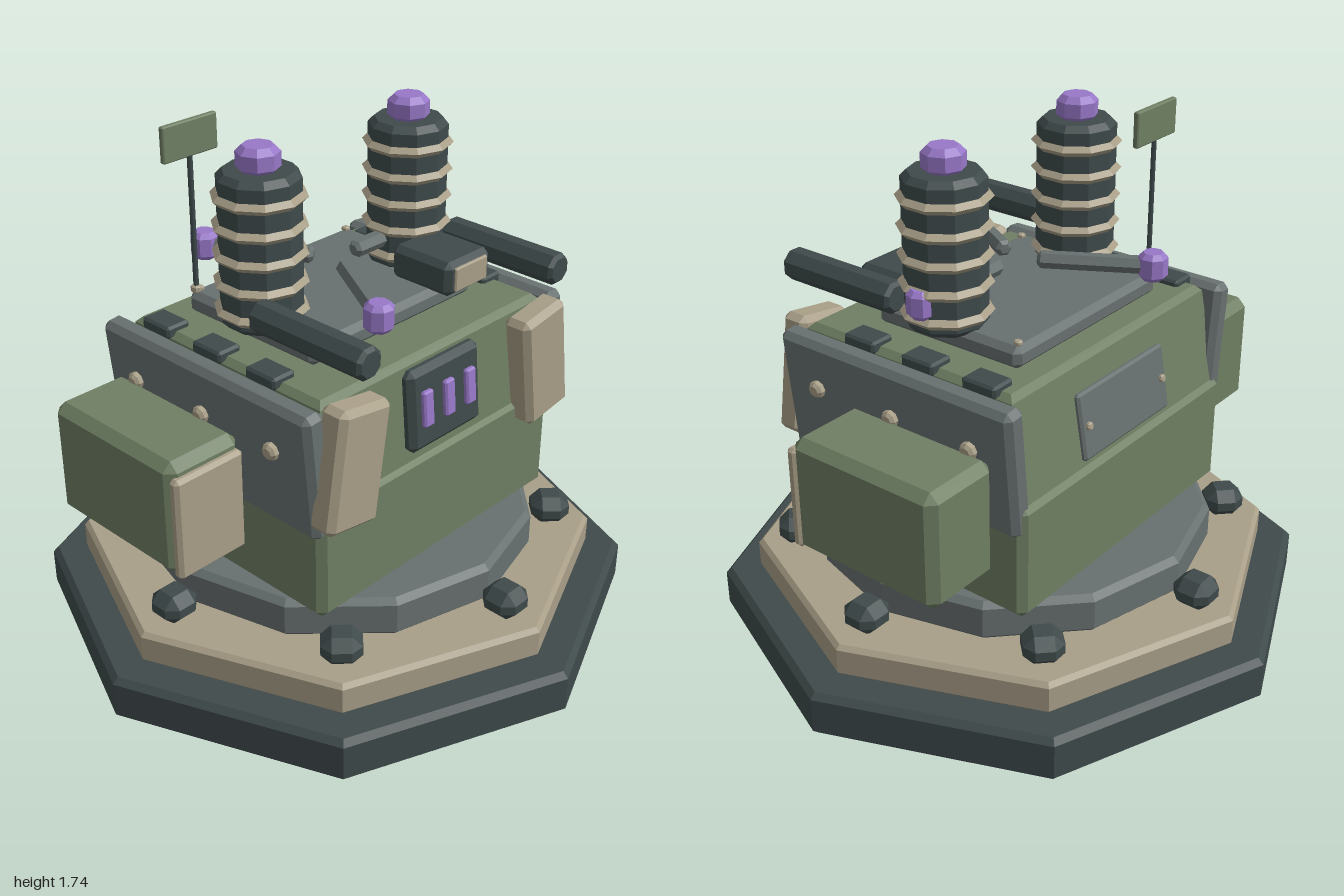
import * as THREE from 'three';
import { ConvexGeometry } from 'three/addons/geometries/ConvexGeometry.js';

const mat = (name, color) => {
  const m = new THREE.MeshStandardMaterial({ color });
  m.name = name;
  return m;
};

// Box with all edges cut at 45 degrees
function chamferBox(w, h, d, c = 0.02) {
  const x = w / 2, y = h / 2, z = d / 2, pts = [];
  for (const i of [-1, 1]) for (const j of [-1, 1]) for (const k of [-1, 1]) {
    pts.push(
      new THREE.Vector3(i * x, j * (y - c), k * (z - c)),
      new THREE.Vector3(i * (x - c), j * y, k * (z - c)),
      new THREE.Vector3(i * (x - c), j * (y - c), k * z));
  }
  return new ConvexGeometry(pts);
}

// Faceted solid of revolution with cut rims
function drum(r, h, sides, c = 0.02) {
  const p = [[0, 0], [r - c, 0], [r, c], [r, h - c], [r - c, h], [0, h]];
  const g = new THREE.LatheGeometry(p.map(([x, y]) => new THREE.Vector2(x, y)), sides).toNonIndexed();
  g.computeVertexNormals();
  return g;
}

export function createModel() {
  const green = mat('armour green', 0x6f7f63);
  const tan = mat('tan', 0xa99f88);
  const gray = mat('steel gray', 0x687070);
  const dark = mat('dark slate', 0x3f4a4b);
  const purple = mat('glow purple', 0x9878c8);

  const model = new THREE.Group();
  const add = (name, geo, material, x = 0, y = 0, z = 0, parent = model) => {
    const m = new THREE.Mesh(geo, material);
    m.name = name;
    m.position.set(x, y, z);
    parent.add(m);
    return m;
  };

  // Stepped base
  add('basePlate', drum(1, 0.16, 8), dark);
  add('baseRing', drum(0.88, 0.115, 8, 0.015), tan, 0, 0.155);
  add('turntable', drum(0.67, 0.14, 12, 0.02), gray, 0, 0.265);
  const boltGeo = chamferBox(0.13, 0.1, 0.13, 0.034);
  for (let i = 0; i < 8; i++) {
    const a = i * Math.PI / 4;
    add('baseBolt', boltGeo, dark, 0.74 * Math.sin(a), 0.315, 0.74 * Math.cos(a)).rotation.y = a;
  }

  // Hull: straight lower block and tapered upper block
  add('lowerHull', chamferBox(1.1, 0.395, 0.935, 0.025), green, 0, 0.5775, 0);
  const upper = [];
  for (const s of [-1, 1]) {
    for (const [x, y, z] of [
      [0.53, 0.74, 0.455], [0.53, 0.74, -0.455],
      [0.51, 1.085, 0.425], [0.51, 1.085, -0.395],
      [0.49, 1.105, 0.405], [0.49, 1.105, -0.375]]) {
      upper.push(new THREE.Vector3(s * x, y, z));
    }
  }
  add('upperHull', new ConvexGeometry(upper), green);

  // Front sensor panel with three lit slits
  const sensor = new THREE.Group();
  sensor.name = 'frontSensor';
  sensor.position.set(0, 0.938, 0.443);
  sensor.rotation.x = -0.09;
  model.add(sensor);
  add('sensorHousing', chamferBox(0.33, 0.275, 0.06, 0.02), dark, 0, 0, 0, sensor);
  for (const x of [-0.1, 0, 0.1]) {
    add('sensorSlit', chamferBox(0.045, 0.12, 0.024, 0.006), purple, x, 0.005, 0.034, sensor);
  }

  // Rear access panel
  const rear = new THREE.Group();
  rear.name = 'rearPanel';
  rear.position.set(0, 0.895, -0.429);
  rear.rotation.x = 0.174;
  model.add(rear);
  add('rearPlate', chamferBox(0.46, 0.22, 0.03, 0.008), gray, 0, 0, 0, rear);
  const smallRivet = drum(0.014, 0.016, 8, 0.004);
  for (const x of [-0.2, 0.2]) {
    add('rearRivet', smallRivet, tan, x, 0, -0.012, rear).rotation.x = -Math.PI / 2;
  }

  // Mirrored sides
  const rivetGeo = drum(0.028, 0.035, 8, 0.01);
  for (const s of [-1, 1]) {
    const plate = new THREE.Group();
    plate.name = 'sidePlate';
    plate.position.set(s * 0.542, 0.886, 0.003);
    plate.rotation.z = -s * 0.095;
    model.add(plate);
    add('sideArmour', chamferBox(0.08, 0.435, 0.915, 0.02), gray, 0, 0, 0, plate);
    for (const z of [-0.305, 0, 0.305]) {
      add('sideRivet', rivetGeo, tan, s * 0.03, 0.06, z, plate).rotation.z = -s * Math.PI / 2;
    }

    add('frontGuard', chamferBox(0.21, 0.4, 0.1, 0.02), tan, s * 0.444, 0.905, 0.48).rotation.z = s * 0.15;

    // Side pods with tan front covers
    add('sidePod', chamferBox(0.28, 0.39, 0.555, 0.03), green, s * 0.718, 0.742, -0.112);
    add('podCover', chamferBox(0.262, 0.345, 0.04, 0.012), tan, s * 0.722, 0.722, 0.168);

    // Roof vents
    for (const z of [-0.28, -0.045, 0.19]) {
      add('roofVent', chamferBox(0.09, 0.04, 0.125, 0.008), dark, s * 0.48, 1.105, z);
    }

    // Gun barrels
    const barrel = add('barrel', drum(0.053, 0.45, 8, 0.012), dark, s * 0.435, 1.252, 0.1);
    barrel.rotation.set(Math.PI / 2, Math.PI / 8, 0);

    // Coil towers
    add('coilTower', drum(0.13, 0.49, 10, 0.02), dark, s * 0.328, 1.16, 0);
    for (let i = 0; i < 5; i++) {
      const ring = new THREE.TorusGeometry(0.131, 0.017, 4, 10).toNonIndexed();
      ring.rotateX(Math.PI / 2);
      ring.rotateY(Math.PI / 10 * 5);
      ring.computeVertexNormals();
      add('coilRing', ring, tan, s * 0.328, 1.21 + i * 0.0905, 0);
    }
    add('coilCap', drum(0.068, 0.085, 8, 0.02), purple, s * 0.328, 1.64, 0);
  }

  // Roof plate with corner rivets
  add('roofPlate', chamferBox(0.735, 0.075, 0.562, 0.02), gray, 0, 1.137, -0.024);
  for (const x of [-0.335, 0.335]) for (const z of [-0.28, 0.23]) {
    add('roofRivet', smallRivet, tan, x, 1.172, z);
  }

  // Three radial arms with lit tips
  for (let i = 0; i < 3; i++) {
    const arm = new THREE.Group();
    arm.name = 'emitterArm';
    arm.position.y = 1.267;
    arm.rotation.y = i * Math.PI * 2 / 3;
    model.add(arm);
    add('armRod', drum(0.029, 0.34, 6, 0.012), gray, 0.075, 0, 0, arm).rotation.z = -Math.PI / 2;
    add('armTip', drum(0.048, 0.092, 8, 0.016), purple, 0.44, -0.046, 0, arm);
  }

  // Equipment box beside the left barrel
  add('equipmentBox', chamferBox(0.212, 0.115, 0.245, 0.02), dark, 0.263, 1.228, 0.208);
  add('equipmentCover', chamferBox(0.155, 0.08, 0.016, 0.004), tan, 0.263, 1.228, 0.33);

  // Antenna with flat panel
  add('antennaFoot', drum(0.018, 0.025, 8, 0.005), tan, -0.345, 1.168, -0.285);
  add('antennaPole', new THREE.CylinderGeometry(0.009, 0.009, 0.54, 6), dark, -0.345, 1.45, -0.285);
  add('antennaPanel', chamferBox(0.215, 0.115, 0.02, 0.004), green, -0.345, 1.68, -0.285);

  return model;
}
